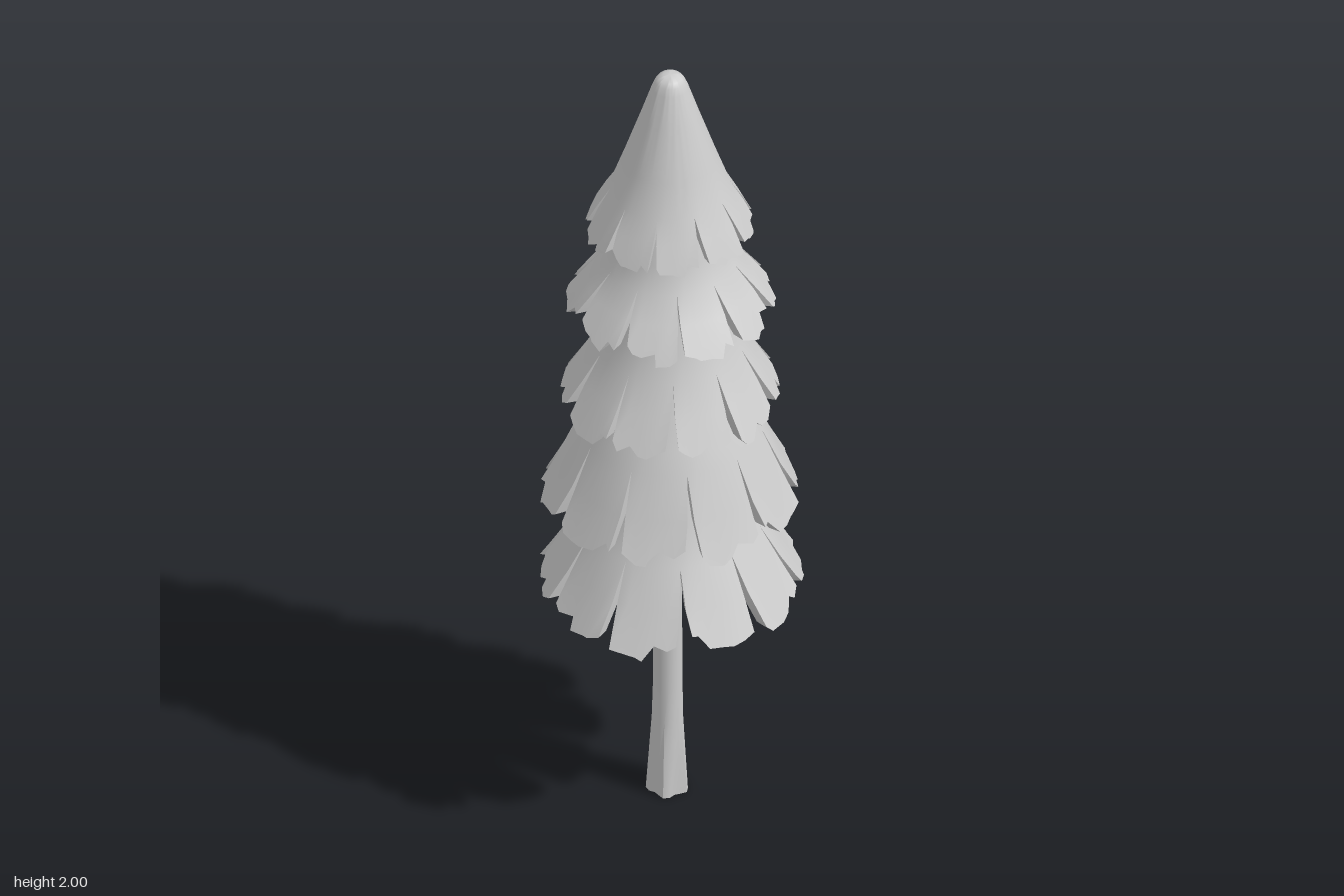
import * as THREE from 'three';
import { toCreasedNormals } from 'three/addons/utils/BufferGeometryUtils.js';

const LOBES = 10, COLS = 6;
const { lerp } = THREE.MathUtils;

// small seeded generator for ragged hems
function seeded(seed) {
  let s = seed;
  return () => (s = (s * 16807) % 2147483647) / 2147483647;
}

// One tier of needles: a thick skirt, slit into lobes with ragged hems.
// profile: [radius, y] from top to hem; the last three are slit top, middle, hem.
function skirt(profile, turn, thick, rand) {
  const pos = [], index = [];
  const rows = profile.length, slit = rows - 3, half = Math.PI / LOBES;
  const ring = 2 * (COLS + 1);
  for (let l = 0; l < LOBES; l++) {
    const base = pos.length / 3;
    const centre = turn + l * 2 * half;
    const skew = (rand() - 0.5) * 0.16, length = 0.93 + rand() * 0.14;
    const tilt = (rand() - 0.5) * 0.24;
    // a broad blunt point with one sharp notch
    const notch = 1 + Math.floor(rand() * (COLS - 1));
    const teeth = [], shift = [];
    for (let j = 0; j <= COLS; j++) {
      const u = j / COLS * 2 - 1;
      const cut = j === notch ? 0.3 : 0.14 * rand();
      teeth.push(length + 0.03 - 0.26 * Math.abs(u) ** 2.5 + tilt * u - cut);
      shift.push(j % COLS ? (rand() - 0.5) * 0.3 : 0);
    }
    profile.forEach(([r, y], i) => {
      const below = Math.max(0, i - slit);
      const width = [1, 0.92, 0.82][below];
      for (let k = 0; k < ring; k++) {
        const inner = k > COLS, j = inner ? ring - 1 - k : k;
        let u = j / COLS * 2 - 1, rr = r, yy = y;
        if (below) u = u * width + skew * below * 0.5;
        if (below === 2) {
          const [r0, y0] = profile[i - 1];
          u += shift[j];
          rr = lerp(r0, r, teeth[j]);
          yy = lerp(y0, y, teeth[j]);
        }
        const a = u * half;
        // lobes flatten towards the hem
        rr *= lerp(1, Math.cos(half * 0.55) / Math.cos(a), below / 2);
        // the underside meets the hem with a level cut
        if (inner) { rr = Math.max(0, rr - thick); yy -= thick * 0.25 * (2 - below); }
        pos.push(rr * Math.cos(centre + a), yy, rr * Math.sin(centre + a));
      }
    });
    const quad = (a, b, c, d) => index.push(a, b, c, a, c, d);
    for (let i = 0; i < rows - 1; i++) {
      for (let k = 0; k < ring; k++) {
        if (i < slit && (k === COLS || k === ring - 1)) continue; // joined above the slit
        const n = (k + 1) % ring, p = base + i * ring, q = p + ring;
        quad(p + k, p + n, q + n, q + k);
      }
    }
    const hem = base + (rows - 1) * ring;
    for (let j = 0; j < COLS; j++) quad(hem + j, hem + j + 1, hem + ring - 2 - j, hem + ring - 1 - j);
  }
  const geo = new THREE.BufferGeometry();
  geo.setAttribute('position', new THREE.Float32BufferAttribute(pos, 3));
  geo.setIndex(index);
  return toCreasedNormals(geo, 0.65);
}

// Slim trunk that spreads into shallow root ridges at the ground
function trunkGeometry() {
  const geo = new THREE.CylinderGeometry(0.028, 0.034, 1.7, 20, 17);
  geo.translate(0, 0.85, 0);
  const p = geo.attributes.position;
  for (let i = 0; i < p.count; i++) {
    const y = p.getY(i), a = Math.atan2(p.getZ(i), p.getX(i));
    const spread = Math.max(0, 1 - y / 0.24);
    const s = 1 + spread * (0.28 + 0.18 * Math.cos(5 * a + 0.4));
    p.setX(i, p.getX(i) * s);
    p.setZ(i, p.getZ(i) * s);
  }
  return toCreasedNormals(geo, 0.7);
}

export function createModel() {
  const group = new THREE.Group();
  const material = new THREE.MeshStandardMaterial({ color: 0xcccccc });
  const add = (name, geo, x, z) => {
    const mesh = new THREE.Mesh(geo, material);
    mesh.name = name;
    mesh.position.set(x, 0, z);
    group.add(mesh);
  };

  add('trunk', trunkGeometry(), -0.01, -0.002);

  // needle tiers from the tip down
  const tiers = [
    [[0, 2], [0.016, 1.998], [0.027, 1.992], [0.034, 1.982], [0.041, 1.965], [0.065, 1.89], [0.105, 1.77],
      [0.133, 1.69], [0.16, 1.64], [0.192, 1.572]],
    [[0.06, 1.74], [0.105, 1.62], [0.122, 1.55], [0.145, 1.49], [0.187, 1.435], [0.24, 1.36]],
    [[0.08, 1.52], [0.125, 1.38], [0.143, 1.32], [0.165, 1.26], [0.203, 1.19], [0.25, 1.105]],
    [[0.1, 1.27], [0.155, 1.13], [0.178, 1.08], [0.202, 1.03], [0.242, 0.93], [0.29, 0.83]],
    [[0.1, 1.02], [0.16, 0.86], [0.178, 0.81], [0.2, 0.77], [0.244, 0.685], [0.3, 0.588]],
  ];
  const turns = [Math.PI / LOBES, 0, 0.07, -0.08, 0];
  const rand = seeded(4721);
  tiers.forEach((profile, i) => {
    const lean = -0.006 + i * 0.0015;
    add('needleTier' + (i + 1), skirt(profile, turns[i], i ? 0.03 : 0.025, rand), lean, lean);
  });
  return group;
}
